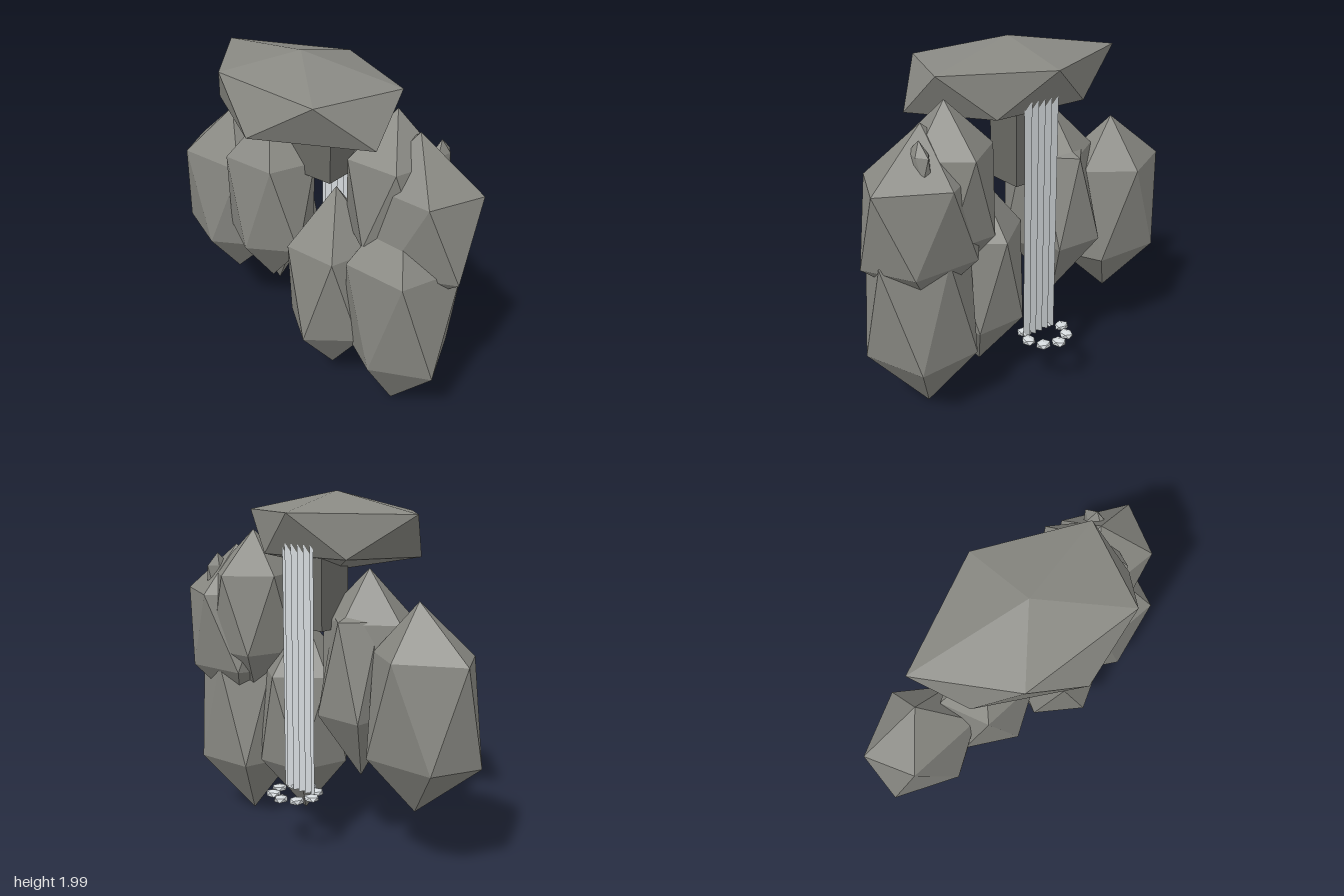
import * as THREE from 'three';
import { ConvexGeometry } from 'three/addons/geometries/ConvexGeometry.js';

function makeMaterial(name, color) {
  const material = new THREE.MeshStandardMaterial({ color });
  material.name = name;
  return material;
}
const rockMaterial = makeMaterial('grey stone', 0x888882);
const darkRockMaterial = makeMaterial('dark stone', 0x686863);
const waterMaterial = makeMaterial('pale water', 0xd4d9dc);
waterMaterial.side = THREE.DoubleSide;

// Twelve-point boulder: two poles and two staggered rings of five.
// spread scales the ring points (five upper, then five lower); rings sets the ring heights.
function boulder(name, [cx, cy, cz], [rx, ry, rz], spread = [], rings = [0.447, -0.447], material = rockMaterial) {
  const points = [new THREE.Vector3(0, ry, 0), new THREE.Vector3(0, -ry, 0)];
  for (let i = 0; i < 10; i++) {
    const lower = i >= 5;
    const angle = ((i % 5) * 2 + (lower ? 1 : 0)) * Math.PI / 5;
    const r = 0.894 * (spread[i] ?? 1);
    points.push(new THREE.Vector3(
      Math.cos(angle) * r * rx, rings[lower ? 1 : 0] * ry, Math.sin(angle) * r * rz));
  }
  const mesh = new THREE.Mesh(new ConvexGeometry(points), material);
  mesh.name = name;
  mesh.position.set(cx, cy, cz);
  return mesh;
}

export function createModel() {
  const model = new THREE.Group();
  model.name = 'waterfallCliff';

  // Wide overhanging ledge
  model.add(boulder('capRock', [-0.04, 1.785, 0], [0.46, 0.215, 0.66],
    [1, 0.97, 1.06, 0.87, 1.13, 0.83, 1.03, 1.02, 0.87, 0.84], [0.5, -0.58]));

  // Boulders of the cliff face, front to back
  model.add(boulder('frontLowerRock', [0.02, 0.69, 0.63], [0.37, 0.68, 0.37],
    [0.8, 1, 0.95, 0.9, 0.8, 0.95, 1, 0.77, 0.85, 0.9]));
  model.add(boulder('frontUpperRock', [0.1, 1.19, 0.65], [0.3, 0.5, 0.4],
    [1, 1, 1, 0.9, 0.9, 0.9, 1, 0.9, 0.9, 0.9]));
  model.add(boulder('frontShard', [0.19, 1.51, 0.72], [0.09, 0.13, 0.045]));
  model.add(boulder('frontPeakRock', [0.1, 1.28, 0.51], [0.29, 0.5, 0.28], [], [0.5, -0.4]));
  model.add(boulder('middleRock', [-0.03, 0.7, 0.235], [0.31, 0.6, 0.29]));
  model.add(boulder('rearInnerRock', [0, 1.05, -0.26], [0.26, 0.55, 0.31], [], [0.5, -0.447]));
  model.add(boulder('rearSideRock', [0.06, 0.93, -0.26], [0.23, 0.48, 0.21],
    [1, 0.85, 0.85, 0.85, 0.85, 1.25, 1, 1, 1, 1.35], [0.85, -0.23]));
  model.add(boulder('backRock', [0.1, 0.91, -0.65], [0.265, 0.56, 0.41],
    [1, 0.7, 1, 1, 0.97, 0.9, 0.85], [0.5, -0.47]));

  // Block under the ledge, behind the water
  const spout = new THREE.Mesh(new THREE.BoxGeometry(0.22, 0.45, 0.28), darkRockMaterial);
  spout.name = 'spoutBlock';
  spout.position.set(0.12, 1.495, 0.02);
  model.add(spout);

  // Falling water: a thin rippled sheet, lit as one flat curtain
  const sheet = new THREE.PlaneGeometry(0.22, 1.39, 60, 1);
  const position = sheet.attributes.position;
  for (let i = 0; i < position.count; i++) {
    position.setZ(i, 0.014 * Math.sin((position.getX(i) / 0.22) * Math.PI * 10));
  }
  const waterfall = new THREE.Mesh(sheet, waterMaterial);
  waterfall.name = 'waterfall';
  waterfall.rotation.y = Math.PI / 2;
  waterfall.position.set(0.262, 1.045, 0.02);
  model.add(waterfall);

  // Ring of splashes at the foot of the fall
  const splash = new THREE.Group();
  splash.name = 'splashRing';
  for (let i = 0; i < 8; i++) {
    const a = i * Math.PI / 4;
    const drop = boulder('splashDrop', [0.31 + 0.117 * Math.cos(a), 0.353, 0.01 + 0.122 * Math.sin(a)],
      [0.046, 0.022, 0.042], [1, 0.85, 1.05, 0.9], [0.5, -0.5], waterMaterial);
    drop.rotation.y = i * 1.3;
    splash.add(drop);
  }
  model.add(splash);

  return model;
}
